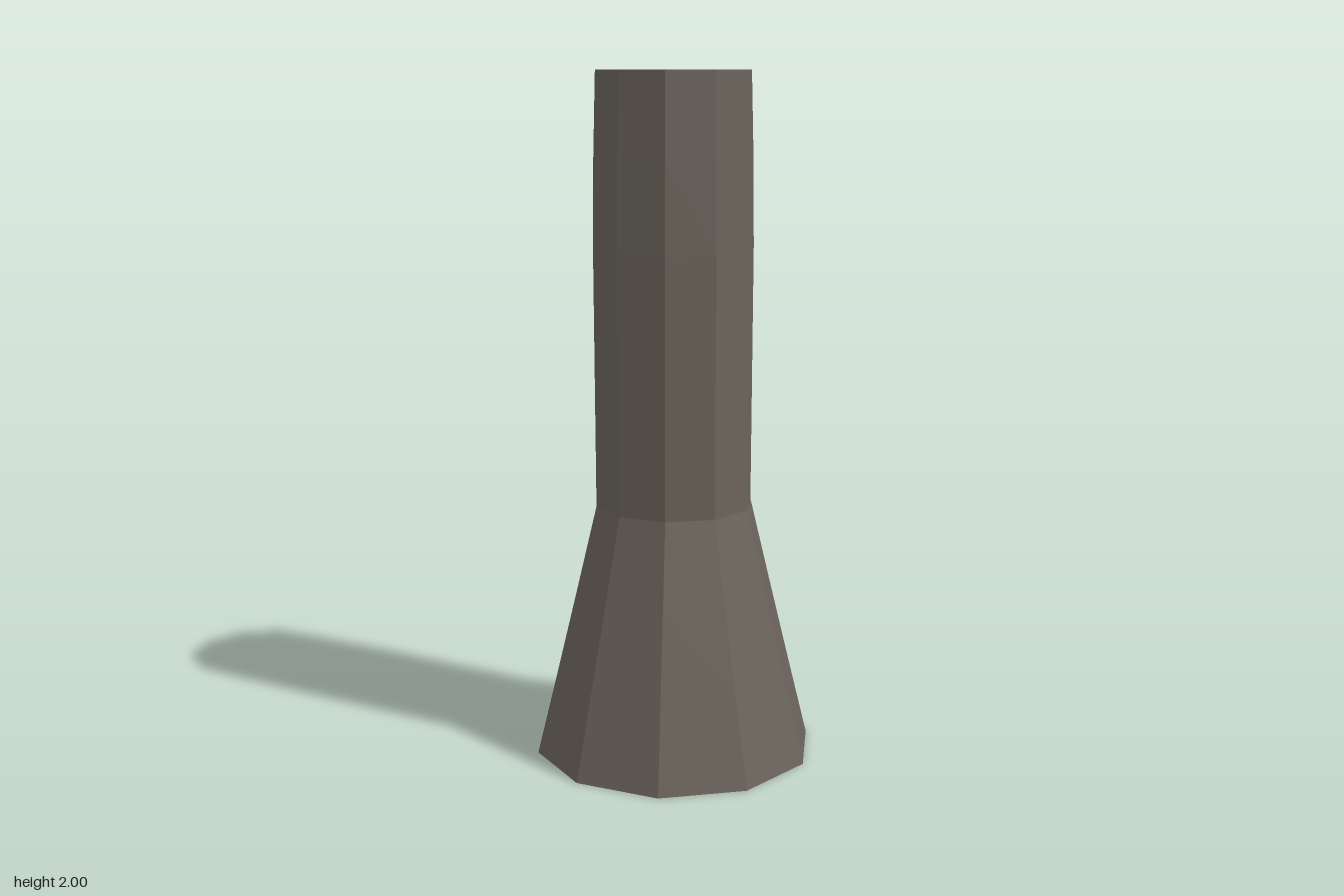
import * as THREE from 'three';

const SIDES = 10;

export function createModel() {
  const model = new THREE.Group();
  model.name = 'flaredColumn';

  const stone = new THREE.MeshStandardMaterial({
    color: 0x6b645b, flatShading: true, side: THREE.DoubleSide,
  });

  // Ten-sided surface of revolution with corners on the x axis
  const addLathe = (name, profile) => {
    const points = profile.map(([r, y]) => new THREE.Vector2(r, y));
    const mesh = new THREE.Mesh(new THREE.LatheGeometry(points, SIDES, Math.PI / 2), stone);
    mesh.name = name;
    model.add(mesh);
  };

  // Flared foot, open underneath
  addLathe('flaredBase', [[0.415, 0], [0.353, 0.25], [0.292, 0.5], [0.232, 0.75]]);

  // Slightly bulging shaft narrowing to the rim
  addLathe('shaft', [[0.232, 0.75], [0.233, 1], [0.235, 1.5], [0.232, 1.75], [0.225, 2]]);

  // Deep funnel running from the rim down to a point at ground level
  addLathe('innerFunnel', [[0.225, 2], [0, 0]]);

  return model;
}
